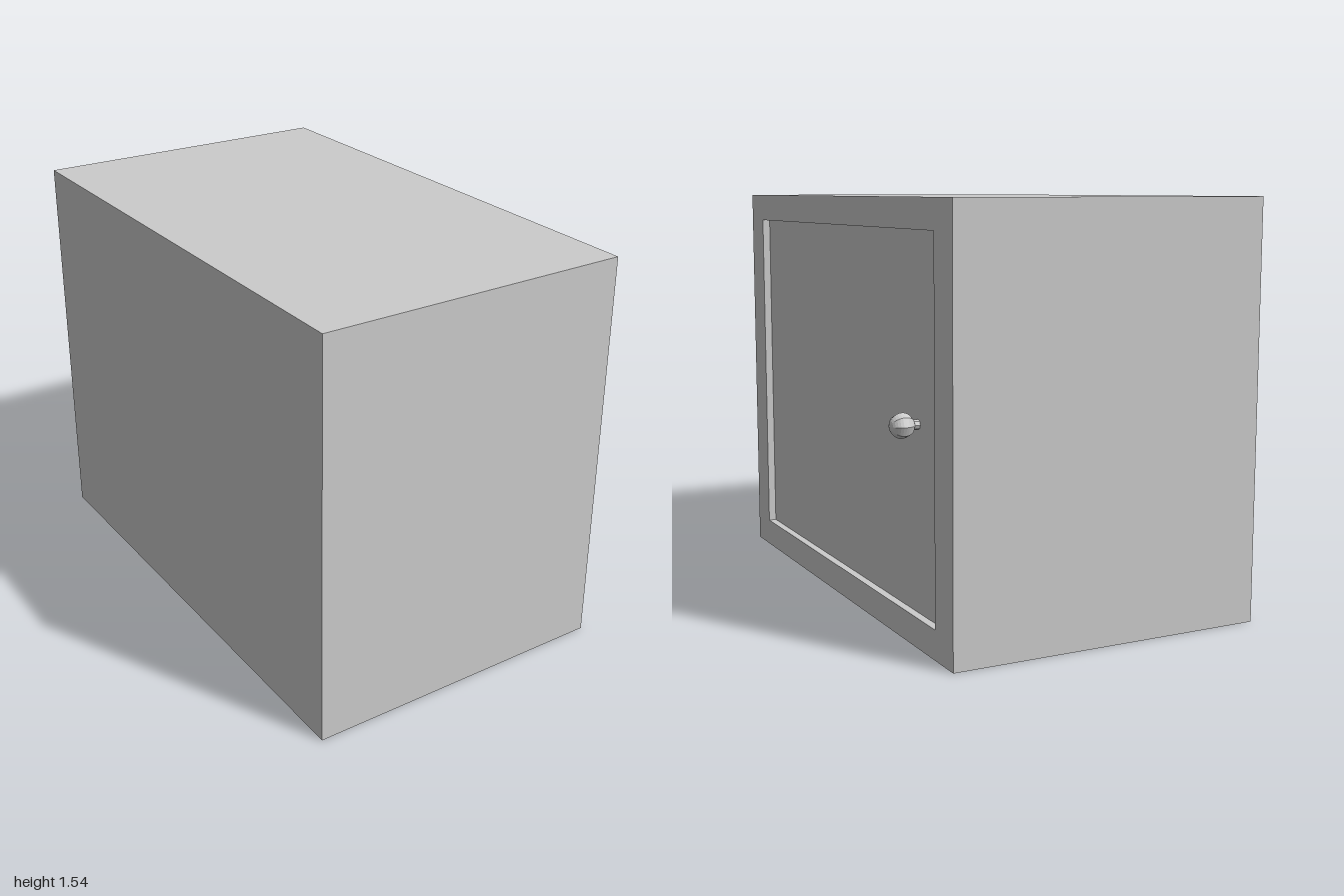
import * as THREE from 'three';

const BACK = -0.645, FRONT = 0.565, PANEL = 0.535;
const MID_Y = 0.77;

// Joins rectangular rings [x, halfHeight, halfDepth] centred on the x axis.
function loftRings(rings) {
  const corners = [[1, 1], [1, -1], [-1, -1], [-1, 1]];
  const point = ([x, h, d], i) => [x, corners[i % 4][0] * h, corners[i % 4][1] * d];
  const pos = [];
  for (let r = 0; r < rings.length - 1; r++) {
    for (let i = 0; i < 4; i++) {
      const a = point(rings[r], i), b = point(rings[r], i + 1);
      const c = point(rings[r + 1], i + 1), d = point(rings[r + 1], i);
      pos.push(...a, ...d, ...c, ...a, ...c, ...b);
    }
  }
  const geo = new THREE.BufferGeometry();
  geo.setAttribute('position', new THREE.Float32BufferAttribute(pos, 3));
  geo.computeVertexNormals();
  return geo;
}

export function createModel() {
  const group = new THREE.Group();
  const grey = new THREE.MeshStandardMaterial({ color: 0xcccccc, flatShading: true });
  const add = (name, geo, x, y, z) => {
    const mesh = new THREE.Mesh(geo, grey);
    mesh.name = name;
    mesh.position.set(x, y, z);
    group.add(mesh);
    return mesh;
  };

  // Cabinet shell: four sides, front rim and the step into the door recess
  add('cabinetBody', loftRings([
    [BACK, 0.77, 1],
    [FRONT, 0.77, 1],
    [FRONT, 0.663, 0.862],
    [PANEL, 0.663, 0.862],
  ]), 0, MID_Y, 0);

  // Closed back and recessed door
  const back = add('backPanel', new THREE.PlaneGeometry(2, 1.54), BACK, MID_Y, 0);
  back.rotation.y = -Math.PI / 2;
  const door = add('door', new THREE.PlaneGeometry(1.724, 1.326), PANEL, MID_Y, 0);
  door.rotation.y = Math.PI / 2;

  // Eight-sided round knob on a short stem, turned about the x axis
  const R = 0.045, STEM = 0.018, CENTRE = 0.596 - PANEL;
  const start = Math.asin(STEM / R);
  const profile = [new THREE.Vector2(STEM, 0)];
  for (let i = 0; i <= 12; i++) {
    const a = start + (Math.PI - start) * i / 12;
    profile.push(new THREE.Vector2(Math.max(0, R * Math.sin(a)), CENTRE - R * Math.cos(a)));
  }
  const knob = add('doorKnob', new THREE.LatheGeometry(profile, 8), PANEL, 0.772, -0.67);
  knob.rotation.z = -Math.PI / 2;

  return group;
}
